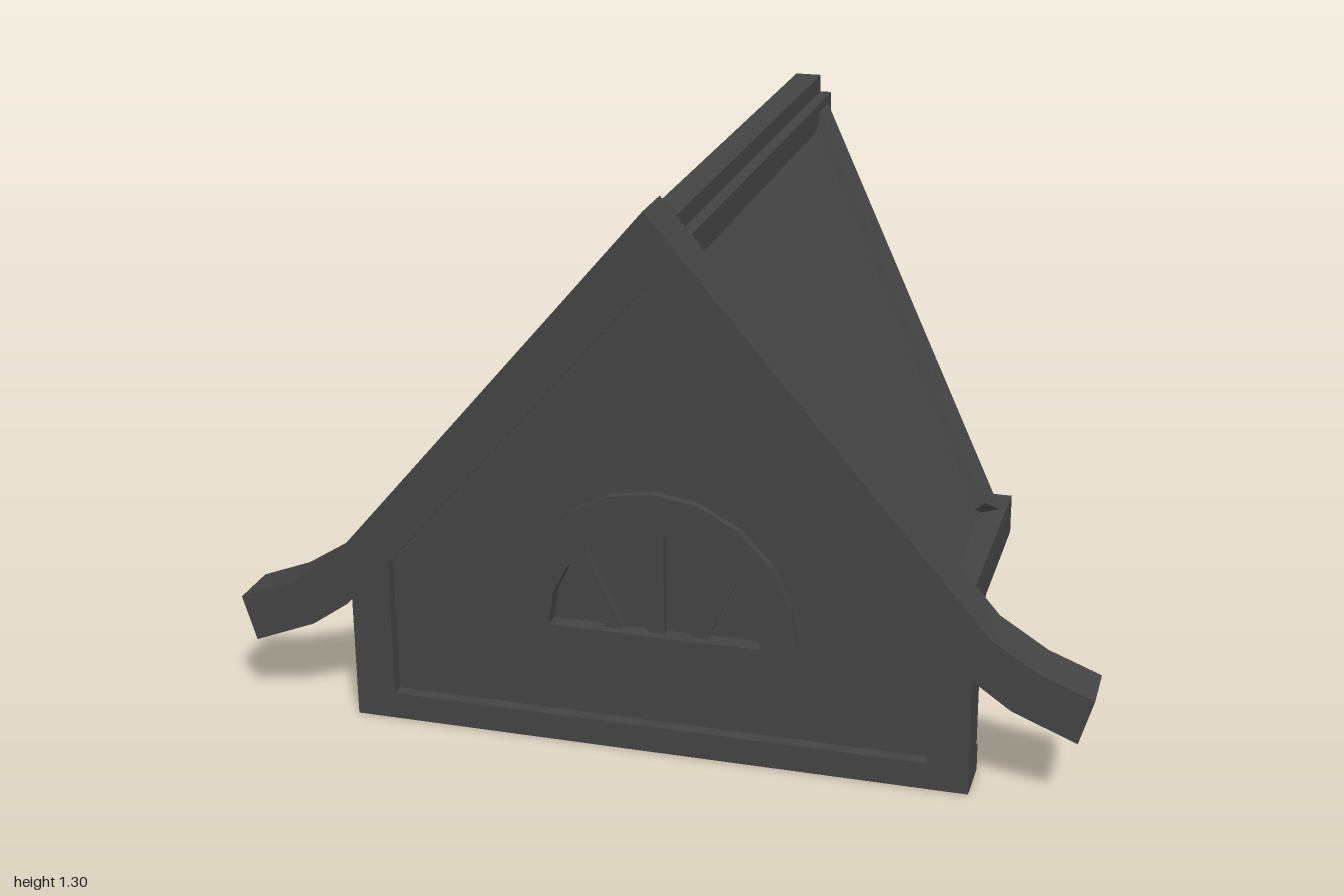
import * as THREE from 'three';
import { toCreasedNormals } from 'three/addons/utils/BufferGeometryUtils.js';

const material = new THREE.MeshStandardMaterial({ color: 0x444444 });

// Polygon from [x, y] points
const poly = (pts) => new THREE.Shape(pts.map(([x, y]) => new THREE.Vector2(x, y)));

// Mirror image of a half outline, in reverse order so the loop closes
const flipped = (pts) => [...pts].reverse().map(([x, y]) => [-x, y]);

// Closed arch: half ellipse standing on y = base, optionally with a foot below it
function arch(rx, ry, base, foot = []) {
  const pts = [];
  for (let i = 0; i <= 10; i++) {
    const a = (i / 10) * Math.PI;
    pts.push([rx * Math.cos(a), base + ry * Math.sin(a)]);
  }
  return pts.concat(foot);
}

const extrude = (shape, depth) => new THREE.ExtrudeGeometry(shape, { depth, bevelEnabled: false });

// Front-facing plate between two z positions
const plate = (shape, z0, z1) => extrude(shape, z1 - z0).translate(0, 0, z0);

// Box from min and max corners
function box(x0, x1, y0, y1, z0, z1) {
  return new THREE.BoxGeometry(x1 - x0, y1 - y0, z1 - z0)
    .translate((x0 + x1) / 2, (y0 + y1) / 2, (z0 + z1) / 2);
}

// Side plate from [z, y] points between two x positions
const sidePlate = (pts, x0, x1) =>
  extrude(poly(pts), x1 - x0).rotateY(-Math.PI / 2).translate(x1, 0, 0);

// Plate lying in the roof slope, from [distance down slope, z] points
const slope = new THREE.Vector3(1, -1.169, 0).normalize();
function roofPlate(pts, lift, thickness) {
  const inward = new THREE.Vector3(slope.y, -slope.x, 0);
  const m = new THREE.Matrix4()
    .makeBasis(slope, new THREE.Vector3(0, 0, 1), inward)
    .setPosition(-inward.x * lift, 1.216 - inward.y * lift, 0);
  return extrude(poly(pts), thickness).applyMatrix4(m);
}

// Mirror across x = 0, keeping faces outward
function mirrored(geometry) {
  const g = geometry.index ? geometry.toNonIndexed() : geometry.clone();
  g.scale(-1, 1, 1);
  const p = g.attributes.position;
  const a = new THREE.Vector3(), b = new THREE.Vector3();
  for (let i = 0; i < p.count; i += 3) {
    a.fromBufferAttribute(p, i + 1);
    b.fromBufferAttribute(p, i + 2);
    p.setXYZ(i + 1, b.x, b.y, b.z);
    p.setXYZ(i + 2, a.x, a.y, a.z);
  }
  g.computeVertexNormals();
  return g;
}

export function createModel() {
  const model = new THREE.Group();
  model.name = 'dormer';
  const add = (name, geometry) => {
    const mesh = new THREE.Mesh(geometry, material);
    mesh.name = name;
    model.add(mesh);
  };
  const addPair = (name, geometry) => {
    add(name + 'Left', geometry);
    add(name + 'Right', mirrored(geometry));
  };

  // Gable board with smoothly upswept ends
  const board = [[0.62, 0.575], [0.77, 0.4], [0.88, 0.33], [1, 0.283],
    [0.968, 0.175], [0.82, 0.235], [0.73, 0.298], [0.635, 0.4]];
  add('gableBoard', toCreasedNormals(
    plate(poly([[0, 1.3], ...board, [0, 1.13], ...flipped(board)]), 0.63, 0.755), 0.45));

  // Front wall with window opening
  const wall = poly([[-0.66, 0.03], [0.66, 0.03], [0.66, 0.41], [0, 1.17], [-0.66, 0.41]]);
  wall.holes.push(poly(arch(0.29, 0.3, 0.27)));
  add('frontWall', plate(wall, 0.66, 0.7));
  add('bottomBeam', box(-0.73, 0.73, 0, 0.065, 0.615, 0.73));
  addPair('cornerPost', box(0.635, 0.73, 0.03, 0.4, 0.63, 0.73));

  // Arched window
  const frame = poly(arch(0.335, 0.35, 0.29, [[-0.35, 0.215], [0.35, 0.215]]));
  frame.holes.push(poly(arch(0.25, 0.255, 0.29)));
  add('windowFrame', plate(frame, 0.635, 0.72));
  add('windowSill', box(-0.35, 0.35, 0.215, 0.285, 0.57, 0.65));
  add('windowPane', plate(poly(arch(0.27, 0.275, 0.28)), 0.67, 0.68));
  add('centreBar', box(-0.02, 0.02, 0.28, 0.55, 0.65, 0.7));
  addPair('slantedBar', new THREE.BoxGeometry(0.038, 0.23, 0.05)
    .rotateZ(-0.43).translate(0.14, 0.378, 0.675));

  // Ridge beam: a narrow beam crossed by a wider one
  const ridge = [[0.033, 1.255], [0.033, 1.21], [0.063, 1.21],
    [0.063, 1.11], [0.033, 1.11], [0.033, 1.065]];
  add('ridgeBeam', plate(poly([...ridge, ...flipped(ridge)]), -0.755, 0.65));

  // Roof slopes, valley rafters and eaves
  addPair('roofSlope', roofPlate([[0, 0.65], [0, -0.72], [1, 0.18], [1.02, 0.65]], 0, 0.03));
  addPair('valleyRafter', roofPlate(
    [[0.045, -0.733], [1.035, 0.167], [0.99, 0.217], [0.045, -0.642]], 0.03, 0.095));
  addPair('eaveBeam', box(0.61, 0.71, 0.355, 0.45, 0.08, 0.65));

  // Side walls and their sloping lower rails
  addPair('sideWall', sidePlate([[0.64, 0.1], [0.64, 0.42], [0.22, 0.42]], 0.65, 0.67));
  addPair('lowerRail', sidePlate(
    [[0.64, 0.063], [0.64, 0.125], [0.26, 0.425], [0.12, 0.425], [0.2, 0.355]], 0.63, 0.69));

  return model;
}
